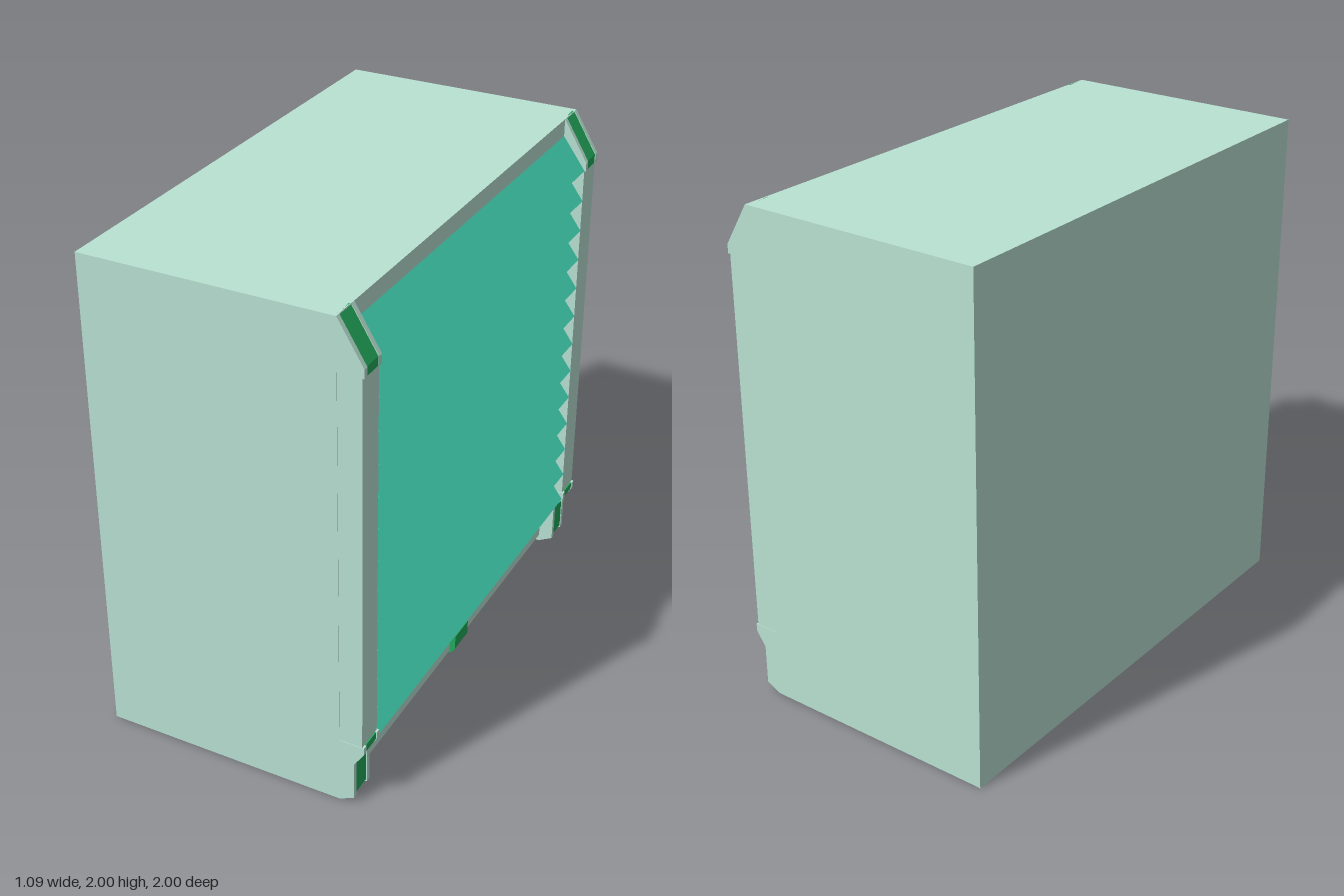
import * as THREE from 'three';

const paint = (color) => new THREE.MeshStandardMaterial({ color, flatShading: true });
const shell = paint(0xb9e2d3);
const teal = paint(0x45d9b8);
const green = paint(0x22aa5c);

// Prism with an x-y outline, running from z0 to z1
function prism(name, outline, z0, z1, material) {
  const shape = new THREE.Shape(outline.map(([x, y]) => new THREE.Vector2(x, y)));
  const geometry = new THREE.ExtrudeGeometry(shape, { depth: z1 - z0, bevelEnabled: false });
  geometry.translate(0, 0, z0);
  const mesh = new THREE.Mesh(geometry, material);
  mesh.name = name;
  return mesh;
}

// Closes an outer edge line back to the cabinet face, sunk by a small amount
const backed = (edge, sink = 0) => [
  [0.43, edge[0][1]],
  ...edge.map(([x, y]) => [x - sink, y]),
  [0.43, edge[edge.length - 1][1]],
];

export function createModel() {
  const model = new THREE.Group();
  model.name = 'louvredCabinet';

  // Cabinet: square ends, with a shallow bevel under the open middle
  const square = [[-0.55, 0], [0.44, 0], [0.44, 2], [-0.55, 2]];
  const bevelled = [[-0.55, 0], [0.32, 0], [0.44, 0.03], [0.44, 2], [-0.55, 2]];
  model.add(prism('cabinetMiddle', bevelled, -0.88, 0.88, shell));

  // Outer edge lines of the corner brackets
  const topEdge = [[0.44, 2], [0.54, 1.835], [0.54, 1.8]];
  const bottomEdge = [[0.54, 0.28], [0.54, 0.25], [0.5, 0.19], [0.5, 0.03], [0.44, 0]];
  const postEdge = [...topEdge, ...bottomEdge];

  for (const side of [-1, 1]) {
    const span = (name, outline, a, b, material) => {
      const z = [side * a, side * b].sort((p, q) => p - q);
      model.add(prism(name, outline, z[0], z[1], material));
    };
    span('cabinetEnd', square, 0.88, 1, shell);
    span('sidePost', backed(postEdge, 0.008), 0.885, 0.998, shell);

    // Brackets: two raised rims with a green strip between them
    for (const edge of [topEdge, bottomEdge]) {
      span('bracketInnerRim', backed(edge), 0.88, 0.9, shell);
      span('bracketOuterRim', backed(edge), 0.98, 1, shell);
    }
    span('upperBracketStrip', backed(topEdge, 0.003), 0.9, 0.98, green);
    span('lowerBracketStrip', backed([...bottomEdge.slice(0, 3), [0.5, 0.04]], 0.003), 0.9, 0.98, green);
  }

  // Louvres: sloped faces with flat undersides
  const count = 13;
  const pitch = (1.93 - 0.25) / count;
  for (let i = 0; i < count; i++) {
    const y = 0.25 + i * pitch;
    model.add(prism('louvre', [[0.43, y], [0.535, y], [0.44, y + pitch], [0.43, y + pitch]], -0.88, 0.88, teal));
  }

  // Central latch, curling under the lower edge
  const latch = [
    [0.43, 0.11], [0.43, 0.035], [0.3, 0.008], [0.3, 0.001], [0.36, 0.003],
    [0.42, 0.011], [0.45, 0.027], [0.465, 0.05], [0.465, 0.11],
  ];
  model.add(prism('latch', latch, -0.06, 0.06, green));
  model.add(prism('latchSeam', [[0.43, 0.11], [0.446, 0.11], [0.446, 0.19], [0.43, 0.19]], -0.003, 0.003, shell));

  return model;
}
